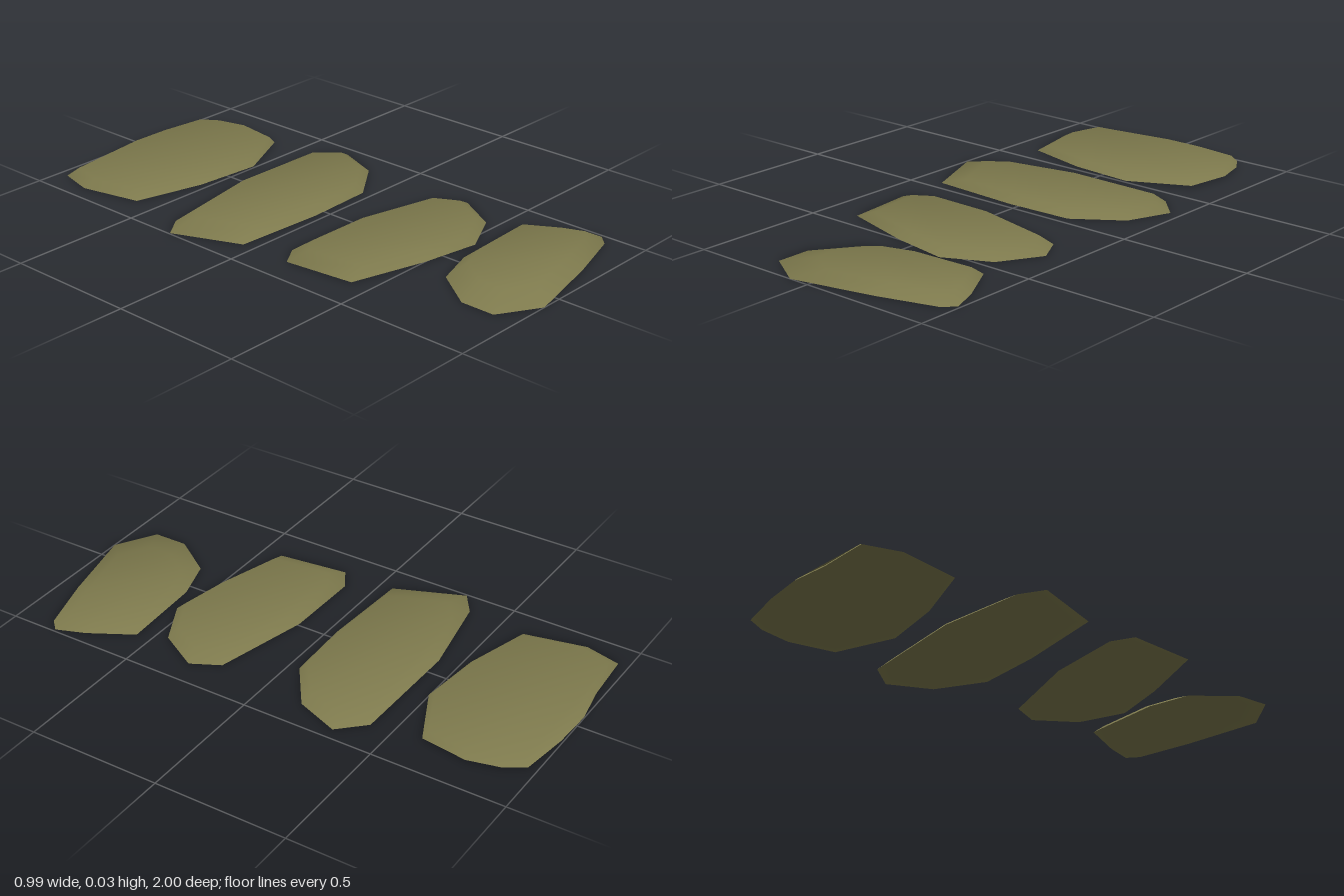
import * as THREE from 'three';

const moss = new THREE.MeshStandardMaterial({ color: 0x7e7a4d, side: THREE.DoubleSide });
moss.name = 'mossy olive stone';

// Shallow stone cap, open underneath: a clockwise outline [x, z] on the ground
// and a smaller copy of it as the walking surface. tilt lifts it towards +x.
function slab(name, outline, { base = 0, height = 0.028, scale, shift = [0, 0], tilt = 0 }) {
  const n = outline.length;
  const box = new THREE.Box2().setFromPoints(outline.map(([x, z]) => new THREE.Vector2(x, z)));
  const c = box.getCenter(new THREE.Vector2());
  const half = box.getSize(new THREE.Vector2()).multiplyScalar(0.5);
  const pos = [];
  const normals = [];
  const index = [];

  // one ring of corners; its normals lean outward, so edges look worn
  function ring(y, [sx, sz], [dx, dz], lean) {
    for (const [px, pz] of outline) {
      const x = c.x + dx + (px - c.x) * sx;
      const z = c.y + dz + (pz - c.y) * sz;
      const normal = new THREE.Vector3(lean * (px - c.x) / half.x, 1, lean * (pz - c.y) / half.y);
      pos.push(x, y + tilt * x, z);
      normals.push(...normal.normalize().toArray());
    }
  }
  ring(base, [1, 1], [0, 0], 0.42);
  ring(height, scale, shift, 0.25);

  // sloping sides
  for (let i = 0; i < n; i++) {
    const j = (i + 1) % n;
    index.push(i, i + n, j, j, i + n, j + n);
  }
  // walking surface
  for (let i = 1; i < n - 1; i++) index.push(n, n + i + 1, n + i);

  const geo = new THREE.BufferGeometry();
  geo.setAttribute('position', new THREE.Float32BufferAttribute(pos, 3));
  geo.setAttribute('normal', new THREE.Float32BufferAttribute(normals, 3));
  geo.setIndex(index);
  const mesh = new THREE.Mesh(geo, moss);
  mesh.name = name;
  return mesh;
}

export function createModel() {
  const group = new THREE.Group();
  group.name = 'steppingStones';

  // rearmost stone, settled slightly to one side
  group.add(slab('backStone', [
    [-0.4, -0.96], [-0.2, -0.974], [-0.05, -1], [0.11, -0.995], [0.295, -0.97], [0.34, -0.9],
    [0.37, -0.78], [0.345, -0.605], [0.12, -0.5], [-0.13, -0.525], [-0.385, -0.595], [-0.435, -0.825],
  ], { base: 0.0044, height: 0.0277, scale: [0.92, 0.91], shift: [0.013, 0], tilt: 0.01 }));

  group.add(slab('middleBackStone', [
    [-0.41, -0.365], [-0.08, -0.425], [0.365, -0.418], [0.455, -0.325], [0.39, -0.16],
    [0.22, -0.04], [-0.04, -0.03], [-0.39, -0.05], [-0.495, -0.305],
  ], { scale: [0.83, 0.86], shift: [0.03, 0] }));

  group.add(slab('middleFrontStone', [
    [-0.39, 0.155], [-0.31, 0.105], [-0.01, 0.11], [0.35, 0.195], [0.405, 0.3],
    [0.315, 0.455], [0.145, 0.54], [-0.08, 0.5], [-0.36, 0.42],
  ], { scale: [0.84, 0.84], shift: [0.012, 0.003] }));

  group.add(slab('frontStone', [
    [-0.12, 0.625], [0.04, 0.575], [0.36, 0.56], [0.45, 0.72], [0.49, 0.825],
    [0.45, 0.865], [0.23, 0.93], [-0.08, 1], [-0.23, 0.91], [-0.23, 0.78],
  ], { scale: [0.76, 0.73], shift: [0.035, -0.024] }));

  return group;
}
